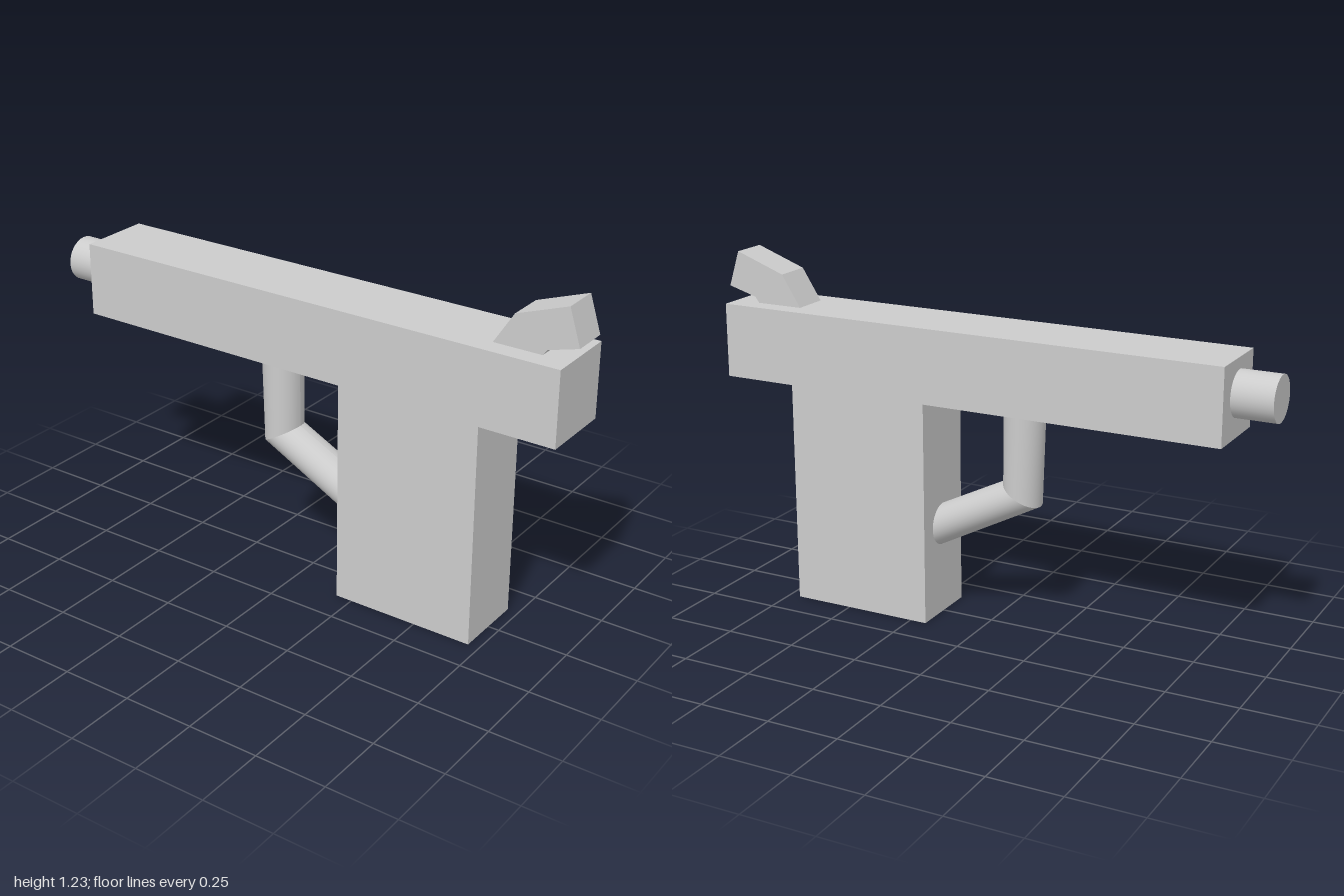
import * as THREE from 'three';

const material = new THREE.MeshStandardMaterial({ color: 0xcccccc });

// Extrudes a side profile of [z, y] points to a width centred on x = 0
function slab(name, points, width) {
  const shape = new THREE.Shape(points.map(([z, y]) => new THREE.Vector2(z, y)));
  const geometry = new THREE.ExtrudeGeometry(shape, { depth: width, bevelEnabled: false });
  geometry.translate(0, 0, -width / 2).rotateY(-Math.PI / 2);
  const mesh = new THREE.Mesh(geometry, material);
  mesh.name = name;
  return mesh;
}

// Straight pipe section between two elliptical rings, so that neighbours meet in a mitre.
// Each ring: centre (z, y), half axis in the side plane (dz, dy)
function pipe(a, b, radius, sides = 32) {
  const positions = [], index = [];
  for (const r of [a, b]) {
    for (let i = 0; i <= sides; i++) {
      const t = (i / sides) * Math.PI * 2;
      positions.push(radius * Math.sin(t), r.y + r.dy * Math.cos(t), r.z + r.dz * Math.cos(t));
    }
  }
  const n = sides + 1;
  for (let i = 0; i < sides; i++) {
    index.push(i, n + i, i + 1, i + 1, n + i, n + i + 1);
  }
  const geometry = new THREE.BufferGeometry();
  geometry.setAttribute('position', new THREE.Float32BufferAttribute(positions, 3));
  geometry.setIndex(index);
  geometry.computeVertexNormals();
  const mesh = new THREE.Mesh(geometry, pipeMaterial);
  mesh.name = 'guardTube';
  return mesh;
}
const pipeMaterial = material.clone();
pipeMaterial.side = THREE.DoubleSide;

export function createModel() {
  const model = new THREE.Group();
  model.name = 'pistol';

  // Slide and grip as one block
  model.add(slab('slideAndGrip', [
    [0.71, 0], [0.71, 0.79], [0.975, 0.79], [0.975, 1.05],
    [-0.86, 1.05], [-0.86, 0.79], [0.19, 0.79], [0.19, 0],
  ], 0.262));

  // Bent hammer on top of the rear end
  model.add(slab('hammer', [
    [0.71, 1.05], [0.78, 1.16], [0.96, 1.225], [1.0, 1.1], [0.895, 1.07], [0.88, 1.05],
  ], 0.13));

  // Short muzzle, slightly off centre
  const muzzle = new THREE.Mesh(new THREE.CylinderGeometry(0.078, 0.078, 0.16, 32).rotateX(Math.PI / 2), material);
  muzzle.name = 'muzzle';
  muzzle.position.set(-0.008, 0.933, -0.92);
  model.add(muzzle);

  // Trigger guard: a pipe with one mitred bend
  const rings = [
    { z: -0.126, y: 0.795, dz: 0.071, dy: 0 },
    { z: -0.12, y: 0.487, dz: 0.066, dy: 0.037 },
    { z: 0.195, y: 0.325, dz: 0, dy: 0.075 },
  ];
  const guard = new THREE.Group();
  guard.name = 'triggerGuard';
  guard.add(pipe(rings[0], rings[1], 0.072), pipe(rings[1], rings[2], 0.072));
  model.add(guard);

  return model;
}
